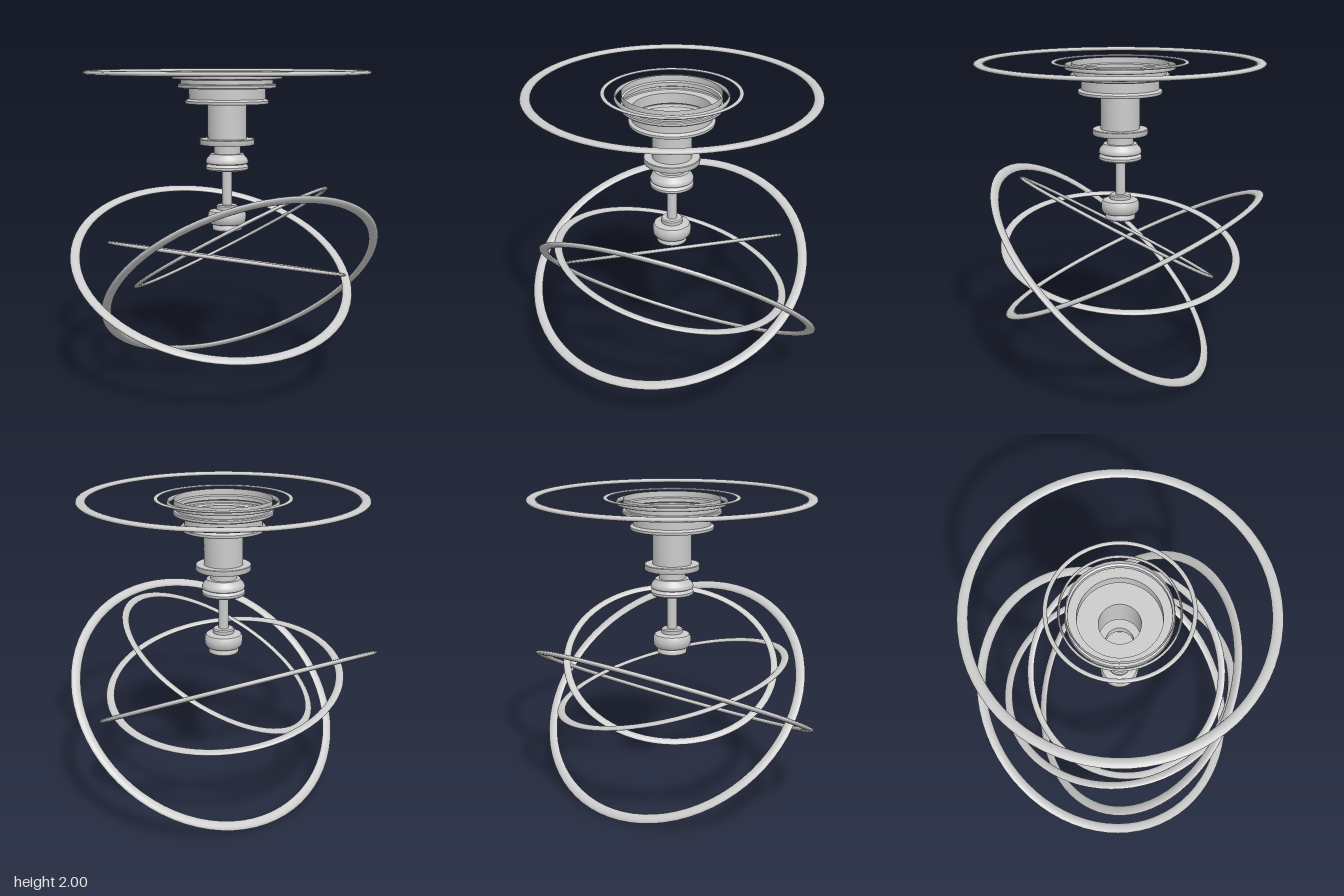
import * as THREE from 'three';
import { toCreasedNormals } from 'three/addons/utils/BufferGeometryUtils.js';

const AXIS_X = 0.03;

export function createModel() {
  const group = new THREE.Group();
  const material = new THREE.MeshStandardMaterial({ color: 0xcccccc });
  const shellMaterial = new THREE.MeshStandardMaterial({ color: 0xcccccc, side: THREE.DoubleSide });

  // Ring with a flattened oval section, sized by outer radius and facing along a normal
  function addRing(name, outer, halfWidth, halfHeight, center, normal) {
    const geometry = new THREE.TorusGeometry(outer - halfWidth, halfWidth, 12, 72);
    geometry.scale(1, 1, halfHeight / halfWidth);
    const ring = new THREE.Mesh(geometry, material);
    ring.name = name;
    ring.position.set(...center);
    ring.quaternion.setFromUnitVectors(
      new THREE.Vector3(0, 0, 1), new THREE.Vector3(...normal).normalize());
    group.add(ring);
  }

  // Level rings at the ceiling
  const up = [0, 1, 0];
  addRing('ceilingRing', 0.904, 0.031, 0.014, [AXIS_X, 1.986, 0], up);
  addRing('innerCeilingRing', 0.43, 0.013, 0.007, [AXIS_X, 1.985, 0], up);
  addRing('canopyRing', 0.35, 0.007, 0.015, [AXIS_X, 1.96, 0], up);

  // Tilted hanging hoops: outer radius, centre, normal
  const hoops = [
    ['steepHoop', 0.935, [0.143, 0.645, 0.01], [-0.506, 0.725, -0.467]],
    ['wideHoop', 0.933, [-0.069, 0.733, 0], [0.314, 0.893, 0.323]],
    ['levelHoop', 0.782, [0.026, 0.783, 0], [0.05, 0.97, -0.236]],
    ['smallHoop', 0.705, [0.058, 0.922, -0.003], [-0.508, 0.861, -0.03]],
  ];
  for (const [name, radius, center, normal] of hoops) {
    const k = radius / 0.904;
    addRing(name, radius, 0.031 * k, 0.014 * k, center, normal);
  }

  // Turned hollow parts, each profile listed upwards as [radius, height]
  function addTurned(name, profile) {
    const points = profile.map(([r, y]) => new THREE.Vector2(r, y));
    const geometry = toCreasedNormals(new THREE.LatheGeometry(points, 40), 0.6);
    const mesh = new THREE.Mesh(geometry, shellMaterial);
    mesh.name = name;
    mesh.position.x = AXIS_X;
    group.add(mesh);
  }

  addTurned('bottomFinial', [
    [0, 0.975], [0.085, 0.975], [0.096, 0.983], [0.096, 1.0], [0.088, 1.015],
    [0.108, 1.02], [0.12, 1.035], [0.123, 1.06], [0.122, 1.085], [0.113, 1.103],
    [0.09, 1.108], [0.068, 1.112], [0.07, 1.135], [0.062, 1.142], [0.032, 1.142],
  ]);
  addTurned('rod', [[0.032, 1.142], [0.032, 1.367]]);
  addTurned('collar', [
    [0.032, 1.367], [0.128, 1.367], [0.137, 1.376], [0.137, 1.39], [0.128, 1.402],
    [0.122, 1.407], [0.135, 1.413], [0.137, 1.425], [0.13, 1.442], [0.113, 1.46],
    [0.108, 1.473], [0.085, 1.473], [0.085, 1.53],
  ]);
  addTurned('stemFlange', [
    [0.085, 1.53], [0.173, 1.53], [0.176, 1.535], [0.176, 1.563], [0.173, 1.567], [0.124, 1.567],
  ]);
  addTurned('stem', [[0.124, 1.567], [0.124, 1.79]]);
  addTurned('canopy', [
    [0.124, 1.79], [0.262, 1.79], [0.266, 1.796], [0.266, 1.808], [0.262, 1.813],
    [0.246, 1.82], [0.246, 1.887], [0.308, 1.887], [0.313, 1.893], [0.313, 1.907],
    [0.308, 1.913], [0.294, 1.915], [0.294, 1.94], [0.306, 1.947], [0.306, 1.985],
  ]);

  return group;
}
